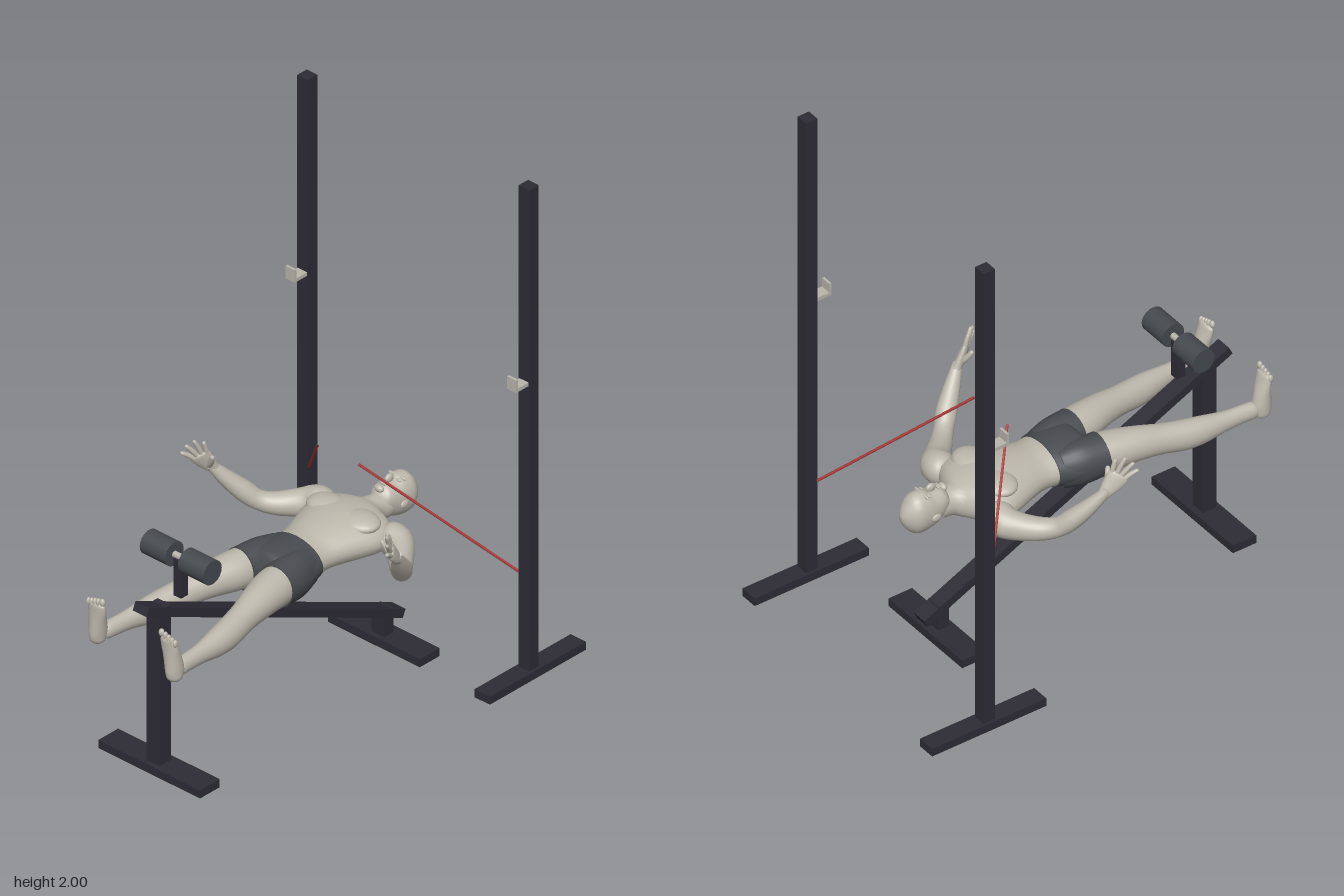
import * as THREE from 'three';

const paint = (name, color) => {
  const m = new THREE.MeshStandardMaterial({ color });
  m.name = name;
  return m;
};

export function createModel() {
  const root = new THREE.Group();
  root.name = 'trainingRackWithFigure';
  const steel = paint('darkSteel', 0x2d2c36);
  const skin = paint('skin', 0xbdb8ac);
  const cloth = paint('shortsCloth', 0x484b4f);
  const foam = paint('foamPad', 0x45494e);
  const metal = paint('bareMetal', 0xb8b5a9);
  const red = paint('redBand', 0xb03a38);

  const add = (name, geo, mat, x = 0, y = 0, z = 0) => {
    const m = new THREE.Mesh(geo, mat);
    m.name = name;
    m.position.set(x, y, z);
    root.add(m);
    return m;
  };
  const box = (name, mat, w, h, d, x, y, z) => add(name, new THREE.BoxGeometry(w, h, d), mat, x, y, z);
  const ball = (name, mat, rx, ry, rz, x, y, z) => {
    const m = add(name, new THREE.SphereGeometry(1, 24, 16), mat, x, y, z);
    m.scale.set(rx, ry, rz);
    return m;
  };

  // Smooth body through oval stations [x, y, z, halfWidth, halfDepth]; t0 and t1 round off the ends
  function loft(stations, side, { t0 = 0, t1 = 0, rows = 32, cols = 24 } = {}) {
    const path = new THREE.CatmullRomCurve3(stations.map(s => new THREE.Vector3(s[0], s[1], s[2])), false, 'catmullrom');
    const size = new THREE.CatmullRomCurve3(stations.map(s => new THREE.Vector3(s[3], s[4], 0)), false, 'catmullrom');
    const round = (t, e) => (t >= e ? 1 : Math.sqrt(Math.max(1 - (1 - t / e) ** 2, 1e-4)));
    const pos = [], idx = [];
    for (let i = 0; i <= rows; i++) {
      const t = (1 - Math.cos((Math.PI * i) / rows)) / 2;
      const p = path.getPoint(t), r = size.getPoint(t), dir = path.getTangent(t);
      const k = round(t, t0) * round(1 - t, t1);
      const s = side.clone().addScaledVector(dir, -side.dot(dir)).normalize();
      const u = new THREE.Vector3().crossVectors(dir, s);
      for (let j = 0; j < cols; j++) {
        const a = (2 * Math.PI * j) / cols;
        const v = p.clone().addScaledVector(s, Math.cos(a) * r.x * k).addScaledVector(u, Math.sin(a) * r.y * k);
        pos.push(v.x, v.y, v.z);
      }
    }
    for (let i = 0; i < rows; i++) for (let j = 0; j < cols; j++) {
      const a = i * cols + j, b = i * cols + ((j + 1) % cols);
      idx.push(a, b, b + cols, a, b + cols, a + cols);
    }
    // End caps
    for (const row of [0, rows]) {
      const c = pos.length / 3, p = path.getPoint(row / rows);
      pos.push(p.x, p.y, p.z);
      for (let j = 0; j < cols; j++) {
        const a = row * cols + j, b = row * cols + ((j + 1) % cols);
        idx.push(c, ...(row ? [a, b] : [b, a]));
      }
    }
    const g = new THREE.BufferGeometry();
    g.setAttribute('position', new THREE.Float32BufferAttribute(pos, 3));
    g.setIndex(idx);
    g.computeVertexNormals();
    return g;
  }
  const X = new THREE.Vector3(1, 0, 0);

  // Bench: feet, posts, sloping beam
  box('benchFrontFoot', steel, 0.48, 0.033, 0.1, 0, 0.0165, 0.7);
  box('benchRearFoot', steel, 0.434, 0.033, 0.1, 0, 0.0165, -0.438);
  box('benchFrontPost', steel, 0.062, 0.635, 0.057, 0, 0.35, 0.702);
  box('benchRearPost', steel, 0.062, 0.1, 0.046, 0, 0.083, -0.432);
  box('benchBeam', steel, 0.064, 0.034, Math.hypot(1.3, 0.605), 0, 0.388, 0.142).rotation.x = -Math.atan2(0.605, 1.3);

  // Leg roller
  box('rollerPost', steel, 0.036, 0.15, 0.036, 0, 0.73, 0.59);
  add('rollerAxle', new THREE.CylinderGeometry(0.012, 0.012, 0.29, 20), metal, 0, 0.81, 0.59).rotation.z = Math.PI / 2;

  // Torso, neck, head
  add('torso', loft([
    [0, 0.555, -0.44, 0.047, 0.052], [0, 0.553, -0.385, 0.053, 0.055], [0, 0.55, -0.352, 0.1, 0.063],
    [0, 0.55, -0.315, 0.165, 0.075], [0, 0.551, -0.26, 0.182, 0.084], [0, 0.553, -0.2, 0.17, 0.086],
    [0, 0.552, -0.12, 0.14, 0.08], [0, 0.548, -0.05, 0.118, 0.074], [0, 0.546, 0.01, 0.12, 0.078],
  ], X), skin);
  add('head', loft([
    [0, 0.603, -0.402, 0.032, 0.034], [0, 0.59, -0.43, 0.048, 0.05], [0, 0.572, -0.47, 0.056, 0.073],
    [0, 0.566, -0.51, 0.06, 0.082], [0, 0.565, -0.55, 0.058, 0.078], [0, 0.566, -0.592, 0.045, 0.06],
  ], X, { t0: 0.15, t1: 0.3 }), skin);
  ball('nose', skin, 0.011, 0.017, 0.02, 0, 0.645, -0.466);
  ball('upperLip', skin, 0.018, 0.006, 0.005, 0, 0.641, -0.442);
  ball('lowerLip', skin, 0.016, 0.006, 0.005, 0, 0.639, -0.433);
  ball('chin', skin, 0.02, 0.014, 0.013, 0, 0.626, -0.415);

  // Shorts
  add('shortsHips', loft([
    [0, 0.546, 0, 0.124, 0.081], [0, 0.543, 0.05, 0.136, 0.086], [0, 0.541, 0.1, 0.147, 0.088],
    [0, 0.542, 0.15, 0.135, 0.08], [0, 0.545, 0.185, 0.1, 0.05],
  ], X, { t1: 0.2 }), cloth);

  for (const m of [1, -1]) {
    const side = m > 0 ? 'left' : 'right';
    const flip = list => list.map(([x, ...rest]) => [m * x, ...rest]);
    const part = (name, mat, stations, opts, s = X) => add(side + name, loft(flip(stations), s, opts), mat);

    // Rack upright with hook
    box(side + 'RackFoot', steel, 0.072, 0.033, 0.487, m * 0.523, 0.0165, -0.62);
    box(side + 'Upright', steel, 0.05, 1.97, 0.048, m * 0.523, 1.015, -0.612);
    box(side + 'HookShelf', metal, 0.044, 0.014, 0.064, m * 0.523, 1.206, -0.557);
    box(side + 'HookLip', metal, 0.044, 0.05, 0.01, m * 0.523, 1.225, -0.53);

    // Elastic band
    const band = new THREE.LineCurve3(new THREE.Vector3(m * 0.495, 0.42, -0.59), new THREE.Vector3(m * 0.095, 0.863, -0.207));
    add(side + 'Band', new THREE.TubeGeometry(band, 1, 0.005, 8), red);

    add(side + 'RollerPad', new THREE.CylinderGeometry(0.047, 0.047, 0.12, 32), foam, m * 0.09, 0.81, 0.59).rotation.z = Math.PI / 2;

    // Face and chest details
    ball(side + 'Eye', skin, 0.011, 0.007, 0.006, m * 0.023, 0.634, -0.49);
    ball(side + 'Brow', skin, 0.018, 0.008, 0.006, m * 0.023, 0.637, -0.505);
    ball(side + 'Ear', skin, 0.007, 0.015, 0.02, m * 0.059, 0.556, -0.482);
    ball(side + 'Chest', skin, 0.08, 0.03, 0.065, m * 0.077, 0.609, -0.235);

    // Shorts leg and bare leg
    part('ShortsLeg', cloth, [
      [0.065, 0.541, 0.03, 0.06, 0.075], [0.075, 0.541, 0.11, 0.074, 0.086], [0.083, 0.545, 0.2, 0.078, 0.08],
    ]);
    part('Leg', skin, [
      [0.08, 0.545, 0.16, 0.07, 0.077], [0.092, 0.548, 0.24, 0.072, 0.071], [0.112, 0.546, 0.33, 0.061, 0.063],
      [0.13, 0.536, 0.42, 0.05, 0.056], [0.147, 0.524, 0.51, 0.049, 0.057], [0.157, 0.522, 0.58, 0.044, 0.052],
      [0.166, 0.524, 0.67, 0.031, 0.038], [0.171, 0.525, 0.75, 0.028, 0.034], [0.177, 0.525, 0.81, 0.028, 0.034],
    ], { t1: 0.08 });
    part('Foot', skin, [
      [0.183, 0.487, 0.82, 0.025, 0.026], [0.181, 0.53, 0.815, 0.03, 0.037], [0.177, 0.58, 0.82, 0.033, 0.031],
      [0.172, 0.63, 0.829, 0.038, 0.02], [0.17, 0.67, 0.836, 0.037, 0.012],
    ], { t0: 0.12, t1: 0.1 });
    for (let i = 0; i < 5; i++) {
      ball(side + 'Toe' + (i + 1), skin, i ? 0.0075 : 0.011, 0.015, 0.01, m * (0.14 + i * 0.0155 + (i ? 0.003 : 0)), 0.677 - i * 0.005, 0.837);
    }

    // Arm, raised at the elbow
    part('Arm', skin, [
      [0.12, 0.55, -0.285, 0.06, 0.06], [0.185, 0.545, -0.3, 0.062, 0.06], [0.235, 0.535, -0.27, 0.05, 0.052],
      [0.295, 0.533, -0.21, 0.042, 0.042], [0.34, 0.55, -0.165, 0.036, 0.036], [0.372, 0.588, -0.13, 0.039, 0.037],
      [0.408, 0.645, -0.082, 0.031, 0.029], [0.436, 0.7, -0.04, 0.021, 0.019], [0.441, 0.715, -0.028, 0.022, 0.016],
    ], { t0: 0.1 }, new THREE.Vector3(0, 0, 1));

    // Hand with spread fingers
    const across = new THREE.Vector3(m * 0.57, -0.4, 0.57);
    part('Palm', skin, [
      [0.434, 0.697, -0.043, 0.021, 0.018], [0.442, 0.727, -0.018, 0.032, 0.016],
      [0.449, 0.757, 0.005, 0.038, 0.014], [0.452, 0.773, 0.016, 0.035, 0.011],
    ], { t1: 0.15 }, across);
    const tips = [[0.487, 0.786, 0.07], [0.476, 0.815, 0.058], [0.456, 0.834, 0.037], [0.434, 0.826, 0.01]];
    tips.forEach((tip, i) => {
      const k = 0.026 - i * 0.0175;
      const base = [0.449 + 0.57 * k, 0.76 - 0.4 * k, 0.008 + 0.57 * k];
      const mid = base.map((b, n) => (b + tip[n]) / 2 + (n === 1 ? 0.003 : 0));
      part('Finger' + (i + 1), skin, [[...base, 0.01, 0.01], [...mid, 0.009, 0.009], [...tip, 0.007, 0.007]],
        { t1: 0.12, rows: 12, cols: 10 }, across);
    });
    part('Thumb', skin, [
      [0.435, 0.72, -0.02, 0.015, 0.014], [0.412, 0.75, -0.008, 0.011, 0.011], [0.398, 0.778, 0.002, 0.008, 0.008],
    ], { t1: 0.12, rows: 12, cols: 10 }, across);
  }
  return root;
}
